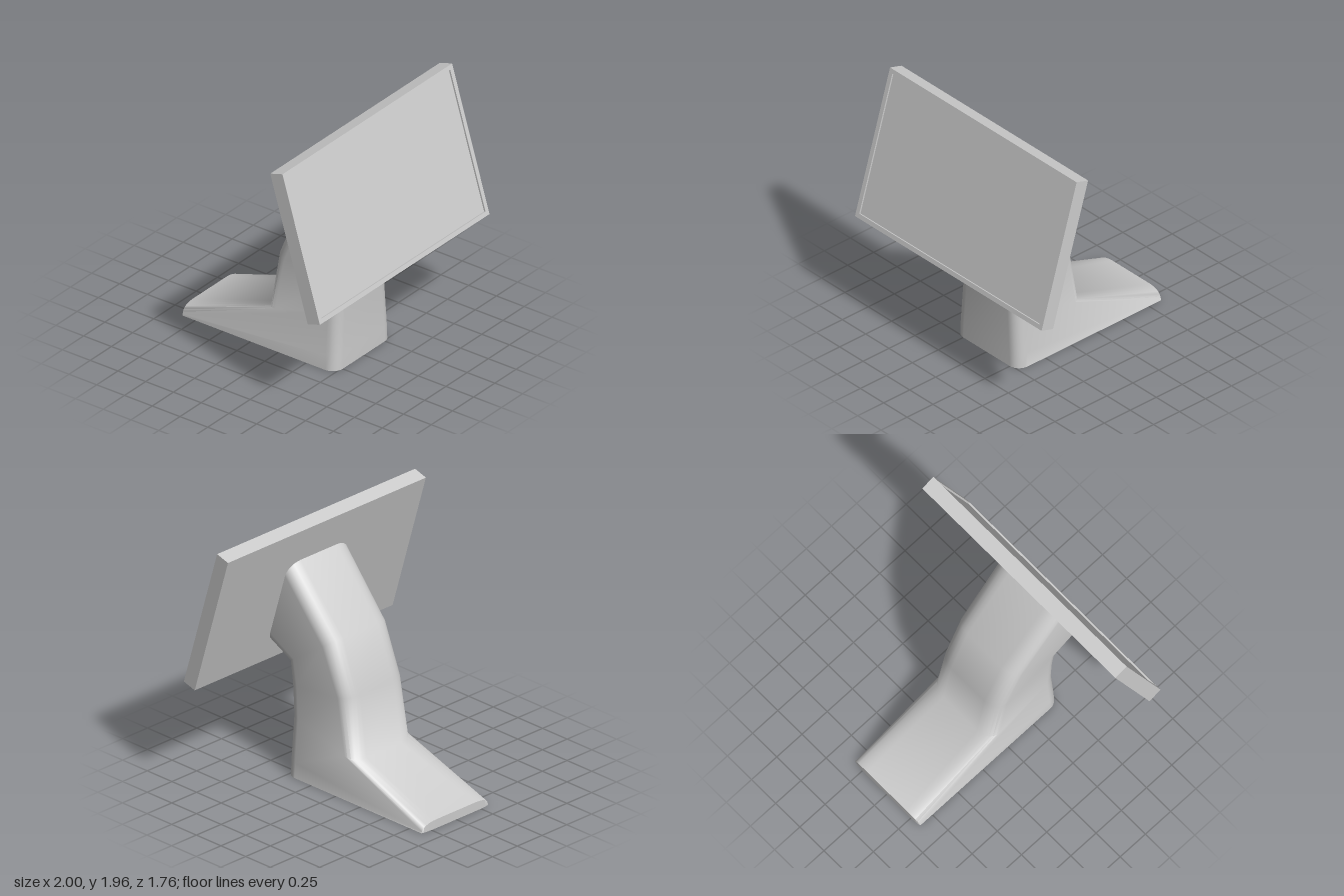
import * as THREE from 'three';
import { toCreasedNormals } from 'three/addons/utils/BufferGeometryUtils.js';

const grey = new THREE.MeshStandardMaterial({ color: 0xcccccc });
const greyDouble = new THREE.MeshStandardMaterial({ color: 0xcccccc, side: THREE.DoubleSide });

// Stand cross-sections, bottom to top: front and back edge as [z, y],
// half width, back corner depth, and how far the back corners droop.
const sections = [
  { front: [0.51, 0], back: [-0.88, 0], w: 0.338, rb: 0.015, drop: 0 },
  { front: [0.51, 0.12], back: [-0.88, 0.07], w: 0.332, rb: 0.015, drop: 0.06 },
  { front: [0.505, 0.48], back: [-0.15, 0.3], w: 0.306, rb: 0.1, drop: 0 },
  { front: [0.525, 0.7], back: [-0.075, 0.77], w: 0.3, rb: 0.1, drop: 0 },
  { front: [0.54, 0.87], back: [0.09, 1.17], w: 0.305, rb: 0.1, drop: 0 },
  { front: [0.725, 0.97], back: [0.52, 1.655], w: 0.312, rb: 0.1, drop: 0 },
];

// Rounded rectangle lying in the plane of one section
function sectionRing({ front, back, w, rb, drop }) {
  const f = new THREE.Vector2(...front), b = new THREE.Vector2(...back);
  const length = f.distanceTo(b), points = [], steps = 6;
  for (let corner = 0; corner < 4; corner++) {
    const isBack = corner < 2;
    const side = corner === 0 || corner === 3 ? 1 : -1;
    const rx = isBack ? 0.13 : 0.09, rt = isBack ? rb : 0.09;
    for (let i = 0; i <= steps; i++) {
      const a = (corner + i / steps) * Math.PI / 2;
      const x = side * (w - rx) + rx * Math.cos(a);
      const t = (isBack ? length - rt : rt) + rt * Math.sin(a);
      const p = f.clone().lerp(b, t / length);
      const droop = isBack ? drop * (1 - Math.abs(Math.sin(a))) : 0;
      points.push([x, p.y - droop, p.x]);
    }
  }
  return points;
}

// Open-ended skin through all sections
function loft(rings) {
  const n = rings[0].length, index = [];
  for (let k = 0; k < rings.length - 1; k++) {
    for (let i = 0; i < n; i++) {
      const j = (i + 1) % n;
      const a = k * n + i, b = k * n + j, c = a + n, d = b + n;
      index.push(a, b, d, a, d, c);
    }
  }
  const geometry = new THREE.BufferGeometry();
  geometry.setAttribute('position', new THREE.Float32BufferAttribute(rings.flat(2), 3));
  geometry.setIndex(index);
  return toCreasedNormals(geometry, 1.2);
}

function rectangle(Type, width, height) {
  const x = width / 2, y = height / 2;
  return new Type([[-x, -y], [x, -y], [x, y], [-x, y]].map(([u, v]) => new THREE.Vector2(u, v)));
}

function addMesh(parent, name, geometry, material = grey) {
  const mesh = new THREE.Mesh(geometry, material);
  mesh.name = name;
  parent.add(mesh);
  return mesh;
}

export function createModel() {
  const model = new THREE.Group();
  model.name = 'displayOnStand';

  // Hollow stand with a wedge foot, open underneath
  addMesh(model, 'stand', loft(sections.map(sectionRing)), greyDouble);

  // Tilted display: housing, raised bezel and recessed screen
  const width = 2, height = 1.176, depth = 0.115, recess = 0.014, border = 0.035;
  const display = new THREE.Group();
  display.name = 'display';
  display.position.set(0, 1.383, 0.655);
  display.rotation.x = -0.291;
  model.add(display);

  const housing = new THREE.BoxGeometry(width, height, depth - recess);
  addMesh(display, 'housing', housing).position.z = -recess / 2;

  const frame = rectangle(THREE.Shape, width, height);
  frame.holes.push(rectangle(THREE.Path, width - 2 * border, height - 2 * border));
  const bezel = new THREE.ExtrudeGeometry(frame, { depth: recess, bevelEnabled: false });
  addMesh(display, 'bezel', bezel).position.z = depth / 2 - recess;

  const screen = new THREE.PlaneGeometry(width - 2 * border, height - 2 * border);
  addMesh(display, 'screen', screen).position.z = depth / 2 - recess + 0.001;

  return model;
}
